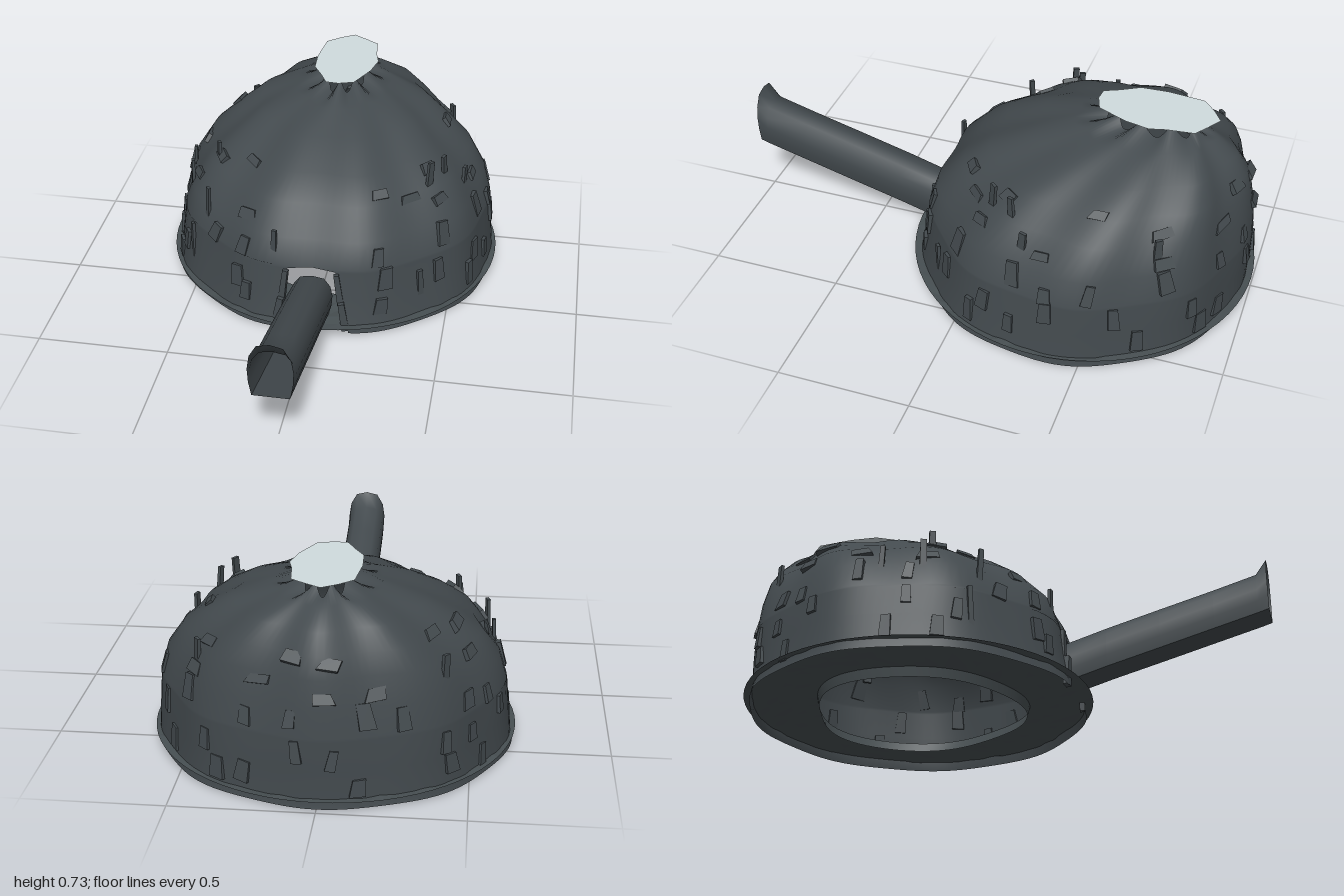
import * as THREE from 'three';
import { mergeVertices } from 'three/addons/utils/BufferGeometryUtils.js';

const mat = (name, color) => {
  const m = new THREE.MeshStandardMaterial({ color, side: THREE.DoubleSide });
  m.name = name;
  return m;
};

// seeded random numbers
let seed = 7;
const rand = (a = 0, b = 1) => {
  seed = (seed * 16807) % 2147483647;
  return a + (b - a) * seed / 2147483647;
};

// cave wall levels: height, centre z, half width in x, half depth in z
const LEVELS = [
  [0.004, -0.342, 0.648, 0.635], [0.04, -0.342, 0.64, 0.628], [0.14, -0.355, 0.63, 0.618],
  [0.25, -0.362, 0.618, 0.61], [0.26, -0.362, 0.616, 0.608], [0.36, -0.375, 0.585, 0.585],
  [0.46, -0.415, 0.515, 0.525], [0.53, -0.455, 0.425, 0.465], [0.6, -0.51, 0.325, 0.365],
  [0.655, -0.55, 0.19, 0.255], [0.688, -0.58, 0.085, 0.165],
];

function level(y) {
  let i = 0;
  while (i < LEVELS.length - 2 && LEVELS[i + 1][0] < y) i++;
  const a = LEVELS[i], b = LEVELS[i + 1];
  const t = THREE.MathUtils.clamp((y - a[0]) / (b[0] - a[0]), 0, 1);
  return a.map((v, k) => v + (b[k] - v) * t);
}

// point on the folded wall; angle 0 is the front, rising towards +x
function wallPoint(angle, y) {
  const [, zc, rx, rz] = level(y);
  const front = Math.atan2(Math.sin(angle), Math.cos(angle));
  const fold = 1 + (0.008 + 0.1 * y * y) * Math.cos(9 * angle + Math.PI)
    - 0.025 * Math.max(0, 1 - 2 * y) * Math.exp(-((front / 0.2) ** 2));
  return new THREE.Vector3(Math.sin(angle) * rx * fold, y, zc + Math.cos(angle) * rz * fold);
}

// surface through rows of points
function skin(rows, flat = false) {
  const n = rows[0].length, pos = [], idx = [];
  rows.forEach(r => r.forEach(p => pos.push(p.x, p.y, p.z)));
  for (let i = 0; i < rows.length - 1; i++) {
    for (let j = 0; j < n - 1; j++) {
      const a = i * n + j, d = a + n;
      idx.push(a, a + 1, d + 1, a, d + 1, d);
    }
  }
  const g = new THREE.BufferGeometry();
  g.setAttribute('position', new THREE.Float32BufferAttribute(pos, 3));
  g.setIndex(idx);
  const out = flat ? g.toNonIndexed() : mergeVertices(g, 1e-4);
  out.computeVertexNormals();
  return out;
}

export function createModel() {
  seed = 7;
  const model = new THREE.Group();
  const stone = mat('dark slate', 0x434a4e);
  const ground = mat('floor slate', 0x474f52);
  const sky = mat('pale sky', 0xd0dbde);
  const add = (name, geo, material, parent = model) => {
    const m = new THREE.Mesh(geo, material);
    m.name = name;
    parent.add(m);
    return m;
  };

  // domed wall, split at the front for the doorway
  const SEG = 108;
  const wall = LEVELS.map(([y], i) => {
    const gap = y < 0.255 ? (0.14 - 0.2 * y) / 0.6 : 0;
    const row = [];
    for (let j = 0; j <= SEG; j++) {
      const angle = gap + (j / SEG) * (2 * Math.PI - 2 * gap);
      const p = wallPoint(angle, y);
      // ragged rim around the roof opening
      if (i === LEVELS.length - 1) p.y += 0.02 * Math.cos(9 * angle);
      row.push(p);
    }
    return row;
  });
  add('caveWall', skin(wall), stone);

  // cobbled floor ring with an uneven central hole and a lip dropping to the base
  const ring = (radius, y, wobble, bump = 0) => {
    const points = Array.from({ length: 72 }, (_, j) => {
      const a = j / 72 * Math.PI * 2;
      const r = radius + wobble * (Math.sin(3 * a + 1) + 0.5 * Math.sin(5 * a));
      return new THREE.Vector3(Math.sin(a) * r, y + rand(-bump, bump), -0.34 + Math.cos(a) * r);
    });
    return [...points, points[0]];
  };
  const floorRows = [ring(0.66, 0.04, 0)];
  for (let r = 0.62; r > 0.43; r -= 0.045) floorRows.push(ring(r, 0.038, 0, 0.004));
  floorRows.push(ring(0.4, 0.036, 0.014));
  add('floor', skin(floorRows, true), ground);
  add('holeLip', skin([ring(0.4, 0.036, 0.014), ring(0.39, 0, 0.014)]), ground);

  // sky opening at the top
  const outline = [[0, -0.82], [0.055, -0.785], [0.105, -0.75], [0.115, -0.65], [0.13, -0.59],
    [0.11, -0.5], [0.06, -0.39], [0, -0.37], [-0.05, -0.375], [-0.075, -0.43], [-0.115, -0.5],
    [-0.12, -0.6], [-0.105, -0.74], [-0.055, -0.785]];
  const skyGeo = new THREE.ShapeGeometry(new THREE.Shape(outline.map(([x, z]) => new THREE.Vector2(x, -z))));
  skyGeo.rotateX(-Math.PI / 2);
  add('skyOpening', skyGeo, sky).position.y = 0.728;

  // sloping entrance tunnel: arch section swept outwards, flared at its mouth
  const arch = [[0.065, 0], [0.075, 0.25], [0.078, 0.5], [0.07, 0.75], [0.045, 0.95], [0, 1]];
  const section = [...arch, ...arch.slice(0, -1).reverse().map(([x, h]) => [-x, h])];
  const stations = [[0.22, 0.048, 0.215], [0.4, 0.1, 0.268], [0.6, 0.153, 0.322],
    [0.8, 0.207, 0.375], [0.96, 0.25, 0.42], [1, 0.262, 0.478]];
  const tunnelRows = stations.map(([z, lo, hi]) =>
    section.map(([x, h]) => new THREE.Vector3(x, lo + (hi - lo) * h, z)));
  add('tunnelVault', skin(tunnelRows.map(r => [...r].reverse())), stone);
  add('tunnelFloor', skin(tunnelRows.map(r => [r[0], r[r.length - 1]])), stone);

  // stones set in the wall, tapered and leaning with it
  const stones = new THREE.Group();
  stones.name = 'wallStones';
  model.add(stones);
  const setStone = (name, angle, y, w, h, d, lean, roll) => {
    const geo = new THREE.BoxGeometry(w, h, d);
    const p = geo.attributes.position, skew = rand(-0.25, 0.25);
    for (let i = 0; i < p.count; i++) {
      if (p.getY(i) > 0) p.setX(i, p.getX(i) * 0.8 + skew * w);
    }
    geo.computeVertexNormals();
    const m = add(name, geo, stone, stones);
    const [, , rx, rz] = level(y);
    m.position.copy(wallPoint(angle, y));
    m.rotation.set(-lean, Math.atan2(Math.sin(angle) / rx, Math.cos(angle) / rz), roll, 'YXZ');
  };
  // height, count, lean of each course
  const courses = [[0.1, 12, 0.06], [0.19, 14, 0.1], [0.31, 16, 0.25], [0.42, 11, 0.5], [0.51, 10, 0.75]];
  courses.forEach(([y, count, lean]) => {
    for (let k = 0; k < count; k++) {
      const angle = 0.33 + (k + rand(0.1, 0.9)) / count * (2 * Math.PI - 0.66);
      const flat = y > 0.4;
      setStone('wallStone', angle, y + rand(-0.03, 0.03), flat ? rand(0.06, 0.09) : rand(0.035, 0.06),
        flat ? rand(0.03, 0.045) : rand(0.06, 0.1), rand(0.014, 0.022), lean, rand(-0.15, 0.15));
    }
  });

  // tall upright shards: angle, height, length
  const shards = [[-1.45, 0.36, 0.14], [-1.2, 0.36, 0.18], [-0.85, 0.33, 0.22], [-0.95, 0.16, 0.2],
    [-1.05, 0.48, 0.12], [1.3, 0.41, 0.12], [1.1, 0.48, 0.14], [0.9, 0.47, 0.18],
    [0.7, 0.14, 0.15], [-0.25, 0.33, 0.13], [2.2, 0.42, 0.14], [-2.3, 0.42, 0.13]];
  shards.forEach(([a, y, len]) =>
    setStone('wallShard', a, y, rand(0.02, 0.035), len, 0.012, 0.02, rand(-0.08, 0.08)));

  // stones framing the doorway
  for (const s of [-1, 1]) {
    setStone('doorStone', s * 0.2, 0.07, 0.03, 0.12, 0.02, 0.04, s * 0.15);
    setStone('doorStone', s * 0.17, 0.18, 0.025, 0.13, 0.02, 0.05, s * 0.12);
  }
  return model;
}
